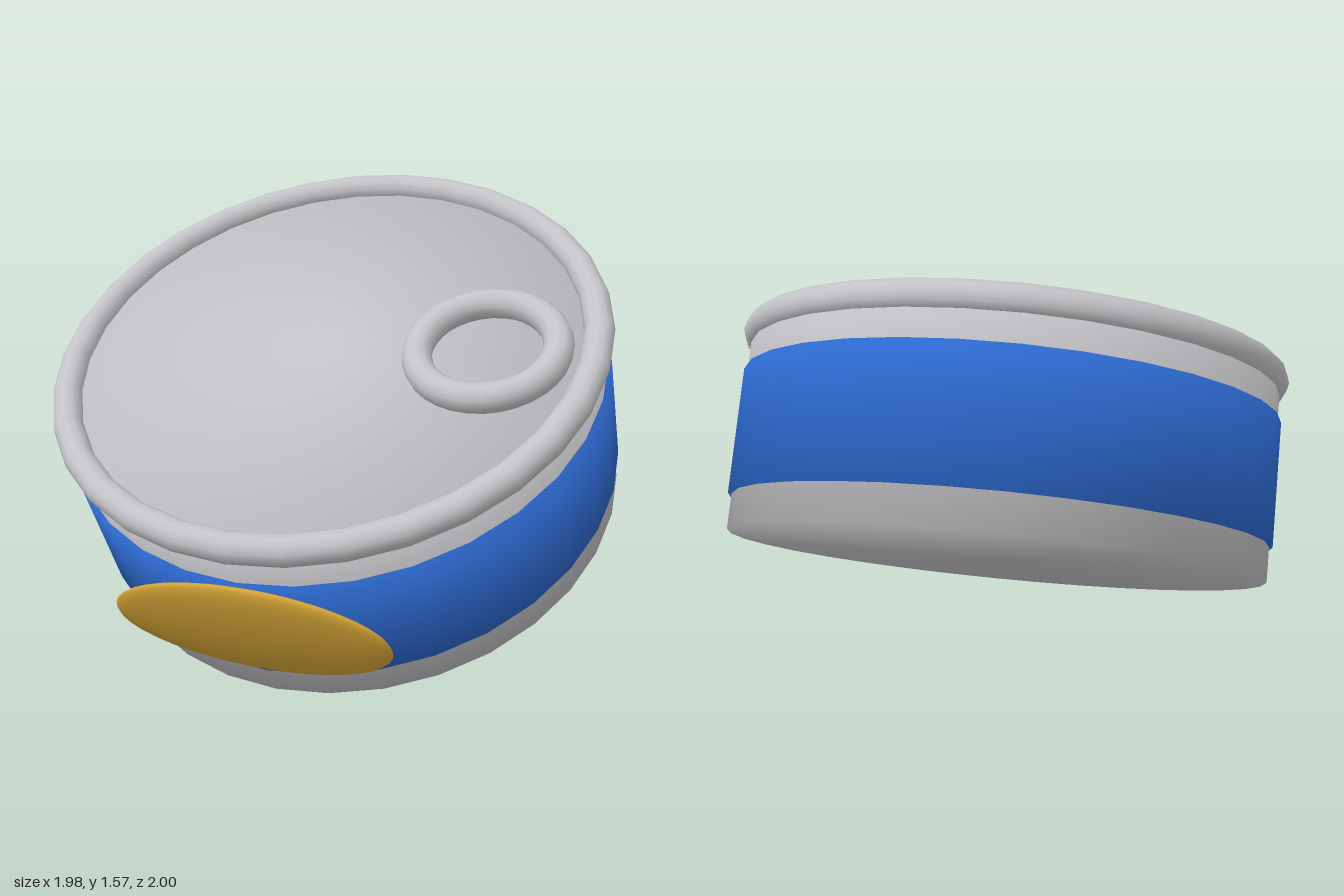
import * as THREE from 'three';

const metal = new THREE.MeshStandardMaterial({ color: 0xc3c3c7 });
metal.name = 'silver metal';
const blue = new THREE.MeshStandardMaterial({ color: 0x2d6ad0 });
blue.name = 'blue label';
const gold = new THREE.MeshStandardMaterial({ color: 0xd2a236 });
gold.name = 'gold badge';

function addPart(parent, name, geometry, material, x = 0, y = 0, z = 0) {
  const mesh = new THREE.Mesh(geometry, material);
  mesh.name = name;
  mesh.position.set(x, y, z);
  parent.add(mesh);
  return mesh;
}

// Closed drum whose rim normals blend softly from side to cap
function softDrum(radius, height) {
  const geo = new THREE.CylinderGeometry(radius, radius, height, 32);
  const p = geo.attributes.position;
  const v = new THREE.Vector3();
  for (let i = 0; i < p.count; i++) {
    const r = Math.hypot(p.getX(i), p.getZ(i));
    if (r < 0.01) continue;
    v.set(p.getX(i) / r, Math.sign(p.getY(i)), p.getZ(i) / r).normalize();
    geo.attributes.normal.setXYZ(i, v.x, v.y, v.z);
  }
  return geo;
}

// Torus lying flat, axis along y
function flatRing(radius, tube) {
  return new THREE.TorusGeometry(radius, tube, 12, 32).rotateX(Math.PI / 2);
}

export function createModel() {
  const model = new THREE.Group();
  model.name = 'tinCan';

  // Can built upright with its base at y = 0, then turned and tipped forward
  const can = new THREE.Group();
  can.name = 'tiltedCan';
  can.rotation.set(Math.PI / 6, THREE.MathUtils.degToRad(20.5), 0, 'YXZ');
  can.position.set(-0.08, 0.465, -0.177);
  model.add(can);

  const height = 0.69;
  addPart(can, 'body', softDrum(0.93, height), metal, 0, height / 2, 0);
  addPart(can, 'label', softDrum(0.942, 0.43), blue, 0, 0.335, 0);
  addPart(can, 'rim', flatRing(0.91, 0.05), metal, 0, height, 0);
  addPart(can, 'pullRing', flatRing(0.23, 0.05), metal, 0.565, height + 0.04, 0);

  // Flattened oval badge on the front of the label
  const badge = new THREE.SphereGeometry(1, 32, 20).scale(0.472, 0.2, 0.04);
  addPart(can, 'badge', badge, gold, 0, 0.345, 0.948);

  return model;
}
